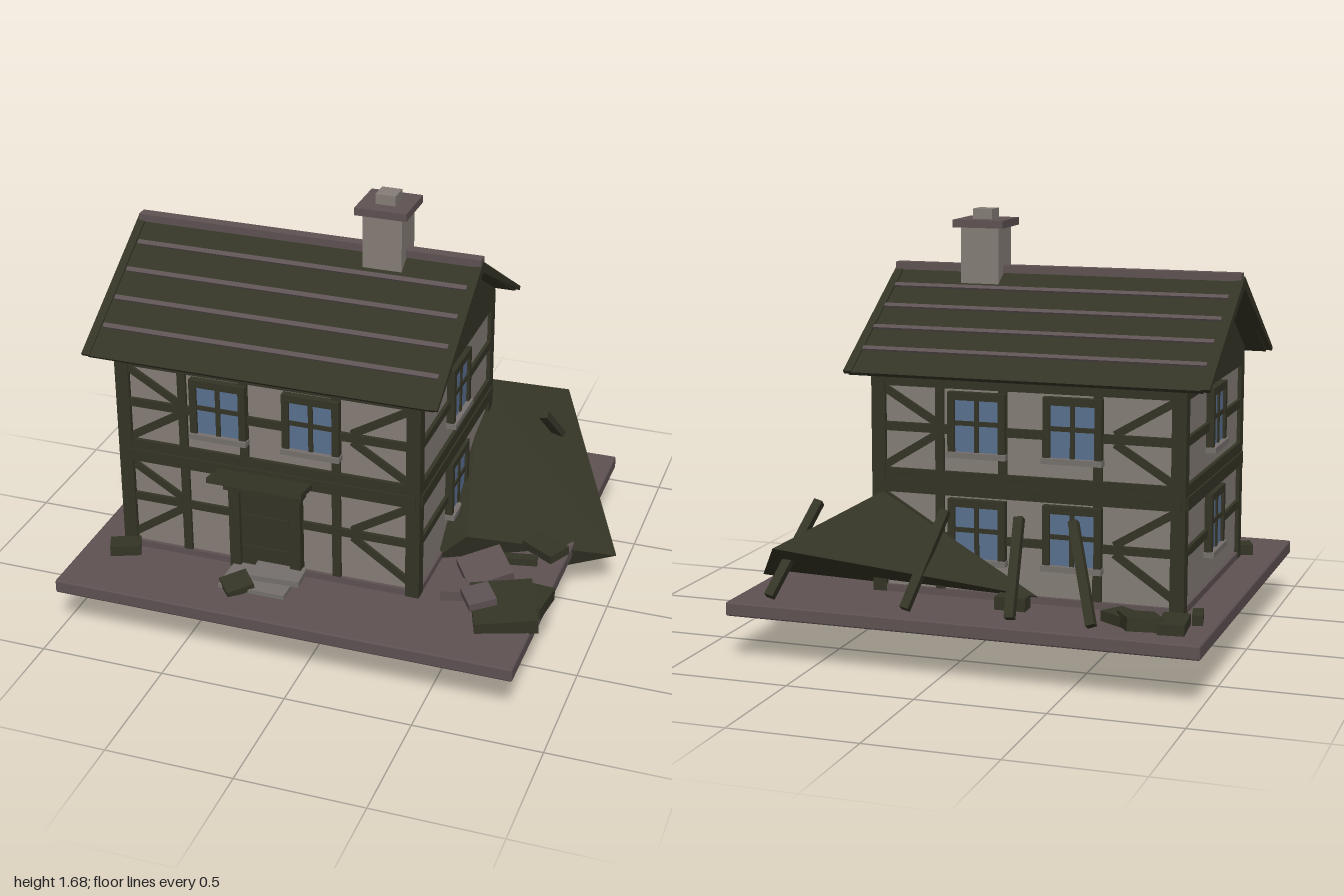
import * as THREE from 'three';
import { RoundedBoxGeometry } from 'three/addons/geometries/RoundedBoxGeometry.js';
import { ConvexGeometry } from 'three/addons/geometries/ConvexGeometry.js';

const material = (name, color) => {
  const m = new THREE.MeshStandardMaterial({ color });
  m.name = name;
  return m;
};

export function createModel() {
  const wood = material('dark timber', 0x343426);
  const plaster = material('plaster', 0x857d77);
  const slate = material('ground stone', 0x5e5253);
  const stone = material('pale stone', 0x75706c);
  const glass = material('window glass', 0x5a7090);
  const model = new THREE.Group();
  model.name = 'halfTimberedHouse';

  const group = (name, parent = model) => {
    const g = new THREE.Group();
    g.name = name;
    parent.add(g);
    return g;
  };
  const add = (name, geo, mat, parent = model) => {
    const m = new THREE.Mesh(geo, mat);
    m.name = name;
    parent.add(m);
    return m;
  };
  // Box given by its lower and upper limits on each axis
  const box = (name, mat, x0, x1, y0, y1, z0, z1, parent = model) => {
    const m = add(name, new THREE.BoxGeometry(x1 - x0, y1 - y0, z1 - z0), mat, parent);
    m.position.set((x0 + x1) / 2, (y0 + y1) / 2, (z0 + z1) / 2);
    return m;
  };
  // Square beam between two points
  const beam = (name, a, b, w, d, parent = model) => {
    const p = new THREE.Vector3(...a), q = new THREE.Vector3(...b);
    const m = add(name, new THREE.BoxGeometry(w, p.distanceTo(q), d), wood, parent);
    m.position.copy(p).add(q).multiplyScalar(0.5);
    m.quaternion.setFromUnitVectors(new THREE.Vector3(0, 1, 0), q.sub(p).normalize());
    return m;
  };

  // Ground slab, plaster core and its underside
  add('groundSlab', new RoundedBoxGeometry(1.84, 0.055, 1.67, 1, 0.008), slate).position.set(-0.08, 0.2075, 0.035);
  box('plasterCore', plaster, -0.84, 0.36, 0.23, 1.09, -0.435, 0.515);
  box('foundationPlate', plaster, -0.84, 0.36, 0.177, 0.183, -0.435, 0.515);

  // Corner posts
  for (const x of [-0.855, 0.32])
    for (const z of [-0.453, 0.48]) box('cornerPost', wood, x, x + 0.055, 0.235, 1.09, z, z + 0.053);

  // Facades are built facing +z, with z = 0 on the plaster
  function addWindow(parent, u, y) {
    const g = group('window', parent);
    g.position.set(u, y, 0);
    box('glass', glass, -0.09, 0.09, -0.115, 0.09, 0.012, 0.019, g);
    for (const s of [-1, 1]) box('frameSide', wood, s * 0.1 - 0.014, s * 0.1 + 0.014, -0.115, 0.115, 0, 0.03, g);
    box('frameTop', wood, -0.1, 0.1, 0.085, 0.115, 0, 0.03, g);
    box('mullion', wood, -0.009, 0.009, -0.115, 0.09, 0.01, 0.025, g);
    box('transom', wood, -0.09, 0.09, -0.012, 0.006, 0.01, 0.025, g);
    box('windowSill', stone, -0.118, 0.118, -0.135, -0.113, 0, 0.04, g);
  }
  function facade(name, half, x, z, turn) {
    const g = group(name);
    g.position.set(x, 0, z);
    g.rotation.y = turn;
    const rails = [[1.04, 1.09, 0.015], [0.866, 0.9, 0.014], [0.68, 0.722, 0.015],
      [0.63, 0.68, 0.021], [0.45, 0.482, 0.014]];
    for (const [y0, y1, d] of rails) box('rail', wood, -half, half, y0, y1, -0.01, d, g);
    box('baseCourse', slate, -half, half, 0.235, 0.262, -0.01, 0.014, g);
    return g;
  }
  const longSide = (name, z, turn) => {
    const g = facade(name, 0.6, -0.24, z, turn);
    for (const u of [-0.342, 0.28])
      for (const [y0, y1] of [[0.72, 1.04], [0.26, 0.63]]) box('stud', wood, u - 0.017, u + 0.017, y0, y1, -0.01, 0.013, g);
    box('stud', wood, -0.108, -0.074, 0.72, 1.04, -0.01, 0.013, g);
    // Braces fanning out to the corners
    for (const s of [-1, 1])
      for (const [y0, y1] of [[0.9, 1.03], [0.866, 0.73], [0.482, 0.615], [0.45, 0.3]])
        beam('brace', [s * 0.345, y0, 0], [s * 0.565, y1, 0], 0.03, 0.024, g);
    for (const u of [-0.19, 0.185]) addWindow(g, u, 0.915);
    return g;
  };
  const front = longSide('frontWall', 0.515, 0);
  const back = longSide('backWall', -0.435, Math.PI);
  for (const u of [-0.19, 0.185]) addWindow(back, u, 0.505);
  for (const [name, x, turn] of [['leftWall', 0.36, Math.PI / 2], ['rightWall', -0.84, -Math.PI / 2]]) {
    const g = facade(name, 0.475, x, 0.04, turn);
    for (const y of [0.915, 0.505]) addWindow(g, 0, y);
  }

  // Door with jambs, lintel, tilted hood and steps
  const door = group('door', front);
  box('doorLeaf', wood, -0.11, 0.1, 0.24, 0.59, 0, 0.022, door);
  for (const y of [0.32, 0.46]) box('doorBatten', wood, -0.1, 0.09, y, y + 0.02, 0, 0.028, door);
  for (const u of [-0.13, 0.12]) box('jamb', wood, u - 0.022, u + 0.022, 0.24, 0.6, 0, 0.04, door);
  box('lintel', wood, -0.165, 0.155, 0.59, 0.632, 0, 0.055, door);
  const hood = box('doorHood', wood, -0.197, 0.187, 0.648, 0.67, 0, 0.14, door);
  hood.rotation.x = -0.18;
  box('lowerStep', stone, -0.38, -0.11, 0.235, 0.252, 0.53, 0.71);
  box('upperStep', stone, -0.28, -0.08, 0.25, 0.275, 0.53, 0.64).rotation.y = 0.06;

  // Gable roof: extruded along x from a z-y profile
  const along = (name, pts, x0, x1) => {
    const shape = new THREE.Shape(pts.map(([z, y]) => new THREE.Vector2(-z, y)));
    const m = add(name, new THREE.ExtrudeGeometry(shape, { depth: x1 - x0, bevelEnabled: false }), wood);
    m.rotation.y = Math.PI / 2;
    m.position.x = x0;
    return m;
  };
  const chevron = (r, top, low, t) =>
    [[0.037 + r, low], [0.037, top], [0.037 - r, low], [0.037 - r + 0.012, low - 0.012], [0.037, top - t], [0.037 + r - 0.012, low - 0.012]];
  along('roofCover', chevron(0.565, 1.437, 1.095, 0.03), -0.93, 0.44);
  for (const x of [-0.955, 0.425]) along('bargeBoard', chevron(0.568, 1.447, 1.1, 0.045), x, x + 0.033);
  along('gableFill', [[0.53, 1.085], [0.53, 1.11], [0.037, 1.41], [-0.453, 1.11], [-0.453, 1.085]], -0.855, 0.375);
  box('ridgeCap', slate, -0.945, 0.455, 1.43, 1.46, 0.014, 0.06);
  const slope = Math.atan2(0.342, 0.565);
  for (const s of [-1, 1])
    for (const d of [0.104, 0.217, 0.332, 0.445]) {
      const strip = add('roofStrip', new THREE.BoxGeometry(1.34, 0.014, 0.02), slate);
      strip.position.set(-0.245, 1.439 - d * 0.605, 0.037 + s * d);
      strip.rotation.x = s * slope;
    }

  // Chimney
  box('chimneyStack', plaster, 0.005, 0.16, 1.36, 1.615, -0.04, 0.113);
  box('chimneyCap', slate, -0.02, 0.185, 1.61, 1.64, -0.065, 0.138);
  box('chimneyPot', plaster, 0.043, 0.123, 1.635, 1.68, -0.003, 0.077);

  // Collapsed roof wedge sunk through the slab
  const wedge = [[0.6, 0.48, -0.88], [1, 0.165, -0.125], [0.095, 0, 0.28], [-0.3, 0.27, -0.475],
    [0.295, 0.65, -0.545], [0.47, 0.347, 0.217]];
  add('fallenRoof', new ConvexGeometry(wedge.map(p => new THREE.Vector3(...p))), wood);

  // Beams leaning on the back wall
  beam('leaningBeam', [-0.58, 0.25, -0.725], [-0.45, 0.58, -0.52], 0.035, 0.035);
  beam('leaningBeam', [-0.27, 0.25, -0.725], [-0.24, 0.58, -0.52], 0.035, 0.035);
  beam('leaningBeam', [0.14, 0.25, -0.725], [0.06, 0.58, -0.5], 0.035, 0.035);
  beam('leaningBeam', [0.69, 0.25, -0.725], [0.595, 0.57, -0.46], 0.035, 0.035);

  // Rubble: x, y, z, width, height, depth, yaw, tilt, material
  const rubble = [
    [-0.86, 0.255, -0.62, 0.1, 0.04, 0.17, 0.1, 0, wood], [-0.74, 0.26, -0.64, 0.14, 0.05, 0.16, 0.5, 0.1, wood],
    [-0.66, 0.255, -0.59, 0.13, 0.04, 0.1, -0.6, 0, wood], [-0.22, 0.26, -0.54, 0.12, 0.05, 0.07, 0, 0, wood],
    [-0.83, 0.255, 0.58, 0.12, 0.045, 0.08, 0.4, 0, wood], [-0.92, 0.255, -0.5, 0.04, 0.04, 0.1, 0.2, 0, wood],
    [-0.31, 0.255, 0.69, 0.11, 0.03, 0.1, 0.7, 0.15, wood],
    [0.71, 0.265, 0.53, 0.24, 0.06, 0.26, 0.35, 0.08, wood], [0.79, 0.26, 0.44, 0.14, 0.05, 0.16, -0.1, 0, wood],
    [0.58, 0.29, 0.33, 0.18, 0.04, 0.17, 0.6, 0.2, slate], [0.62, 0.315, 0.56, 0.11, 0.03, 0.11, 0.6, 0.1, slate],
    [0.76, 0.29, 0.1, 0.16, 0.035, 0.1, -0.55, 0.1, wood], [0.68, 0.27, 0.19, 0.14, 0.03, 0.04, 0.2, 0, wood],
    [0.5, 0.26, 0.46, 0.12, 0.04, 0.1, 0.3, 0, slate], [0.44, 0.33, 0.08, 0.1, 0.05, 0.2, 0.3, 0.4, wood],
  ];
  const debris = group('rubble');
  for (const [x, y, z, w, h, d, yaw, tilt, mat] of rubble) {
    const m = add('rubblePiece', new THREE.BoxGeometry(w, h, d), mat, debris);
    m.position.set(x, y, z);
    m.rotation.set(tilt, yaw, tilt / 2);
  }
  return model;
}
